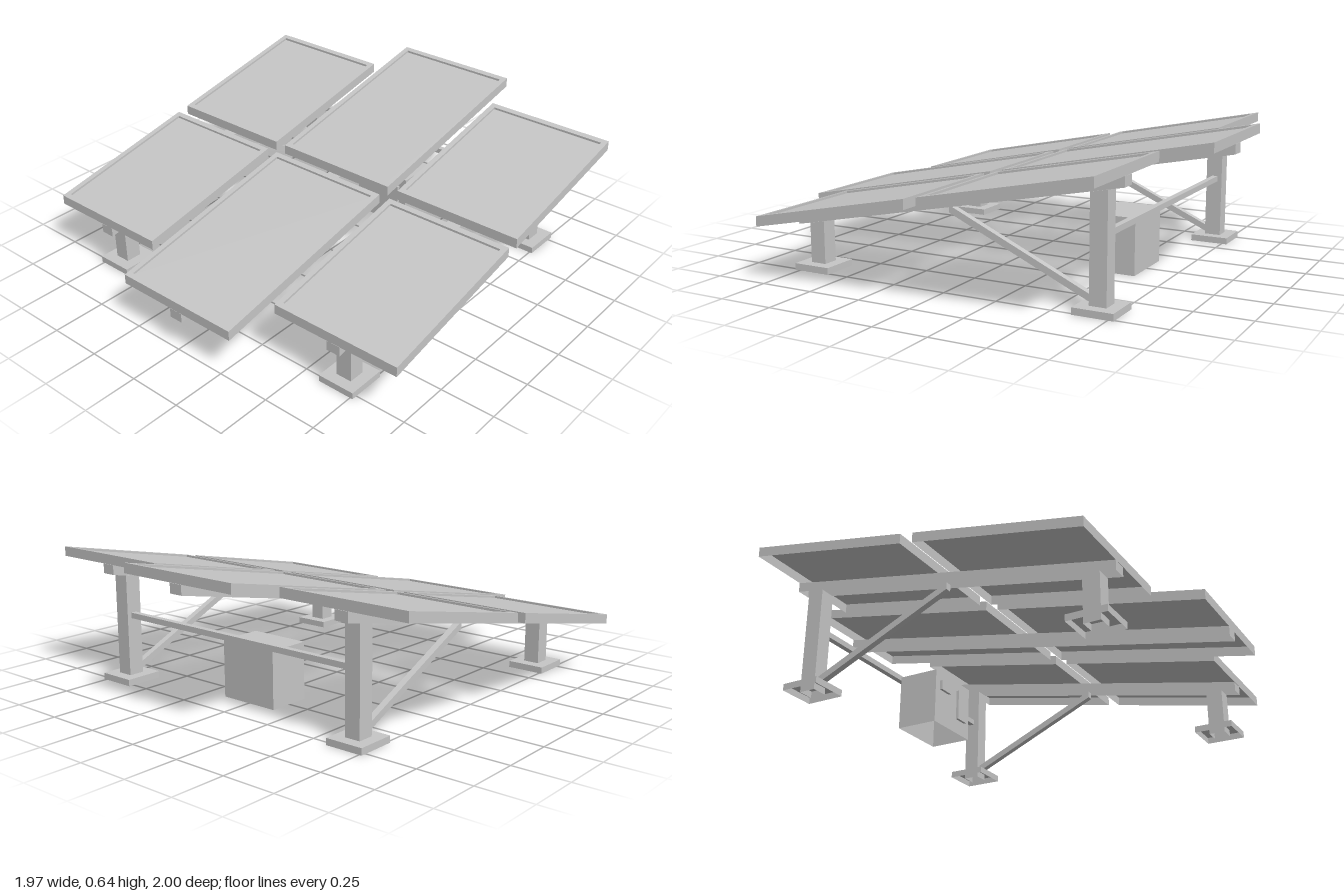
import * as THREE from 'three';
import { mergeGeometries } from 'three/addons/utils/BufferGeometryUtils.js';

const SLOPE = -0.2;      // rise of the array per unit of z
const DECK = 0.4;        // height of the panel underside at z = 0

// Box from ranges, with chosen faces left out (order: +x -x +y -y +z -z)
function box([x0, x1], [y0, y1], [z0, z1], skip = []) {
  const g = new THREE.BoxGeometry(x1 - x0, y1 - y0, z1 - z0);
  g.translate((x0 + x1) / 2, (y0 + y1) / 2, (z0 + z1) / 2);
  const index = Array.from(g.index.array).filter((_, i) => !skip.includes(Math.floor(i / 6)));
  g.setIndex(index);
  g.clearGroups();
  return g.toNonIndexed();
}

// Tilt a geometry while keeping its ends upright
function shear(g, slope) {
  const p = g.attributes.position;
  for (let i = 0; i < p.count; i++) p.setY(i, p.getY(i) + slope * p.getZ(i));
  g.computeVertexNormals();
  return g;
}

// Framed panel: outer skirt, flat rim, recess walls and sunken face, open below
function panelGeometry(x0, x1, z0, z1) {
  const top = DECK + 0.045, rim = 0.026, depth = 0.01;
  const inX = [x0 + rim, x1 - rim], inZ = [z0 + rim, z1 - rim];
  const parts = [
    box([x0, x1], [DECK, top], [z0, z1], [2, 3]),
    box(inX, [top - depth, top], inZ, [2, 3]),
    box(inX, [top - depth - 0.001, top - depth], inZ, [0, 1, 3, 4, 5]),
    box([x0, x1], [DECK, top], [z0, inZ[0]], [0, 1, 3, 4, 5]),
    box([x0, x1], [DECK, top], [inZ[1], z1], [0, 1, 3, 4, 5]),
    box([x0, inX[0]], [DECK, top], inZ, [0, 1, 3, 4, 5]),
    box([inX[1], x1], [DECK, top], inZ, [0, 1, 3, 4, 5]),
  ];
  return shear(mergeGeometries(parts), SLOPE);
}

export function createModel() {
  const model = new THREE.Group();
  model.name = 'solarArray';
  const grey = new THREE.MeshStandardMaterial({ color: 0xc6c6c6, side: THREE.DoubleSide });
  grey.name = 'lightGrey';

  const add = (name, geometry) => {
    const mesh = new THREE.Mesh(geometry, grey);
    mesh.name = name;
    model.add(mesh);
  };

  // Three columns of panels, each on a sloping channel open below
  for (const [x, reach] of [[-0.675, 0.79], [0, 1], [0.675, 0.79]]) {
    add('frontPanel', panelGeometry(x - 0.31, x + 0.31, 0.03, reach));
    add('rearPanel', panelGeometry(x - 0.31, x + 0.31, -reach, -0.03));
    add('rail', shear(box([x - 0.033, x + 0.033], [DECK - 0.045, DECK - 0.001], [-reach, reach], [3]), SLOPE));
  }

  for (const x of [-0.675, 0.675]) {
    for (const z of [-0.685, 0.685]) {
      // Foot plate and post, hollow below
      add('footPlate', box([x - 0.088, x + 0.088], [0, 0.03], [z - 0.09, z + 0.09], [3]));
      const post = box([x - 0.037, x + 0.037], [0, 1], [z - 0.038, z + 0.038], [3]);
      const p = post.attributes.position;
      for (let i = 0; i < p.count; i++) {
        if (p.getY(i) > 0.5) p.setY(i, DECK - 0.045 + SLOPE * p.getZ(i));
      }
      post.computeVertexNormals();
      add(z > 0 ? 'frontPost' : 'rearPost', post);
    }
    // Diagonal brace from the rear foot up to the rail
    add('brace', shear(box([x - 0.015, x + 0.015], [0.326, 0.358], [-0.65, 0.005]), 0.45));
  }

  // Bar joining the rear posts
  add('crossBar', box([-0.64, 0.64], [0.298, 0.324], [-0.702, -0.675]));

  // Control cabinet with two raised covers on its front
  add('cabinet', box([-0.145, 0.145], [0, 0.26], [-0.6, -0.4], [3]));
  add('tallCover', box([0.035, 0.107], [0.07, 0.215], [-0.4, -0.387]));
  add('smallCover', box([-0.11, -0.035], [0.17, 0.215], [-0.4, -0.387]));

  return model;
}
